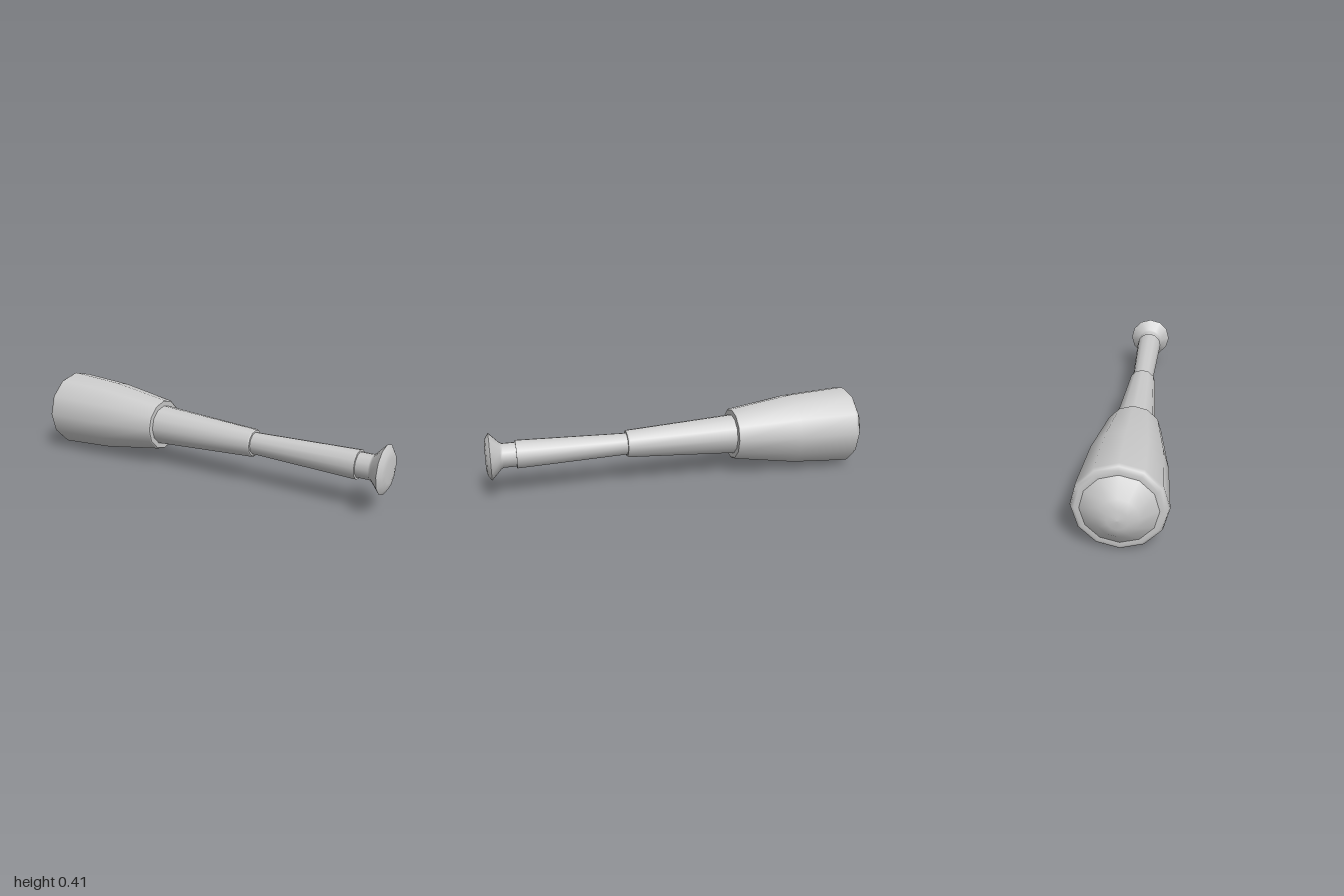
import * as THREE from 'three';

const SIDES = 12;
const AXIS_HEIGHT = 0.206;

export function createModel() {
  const group = new THREE.Group();
  group.name = 'spyglass';
  const material = new THREE.MeshStandardMaterial({ color: 0xcccccc, side: THREE.DoubleSide });

  // Turned part along x: profile is a list of [x, radius], left to right
  function turned(name, profile) {
    const points = profile.map(([x, r]) => new THREE.Vector2(r, x));
    const geometry = new THREE.LatheGeometry(points, SIDES);
    geometry.rotateZ(-Math.PI / 2);
    const mesh = new THREE.Mesh(geometry, material);
    mesh.name = name;
    mesh.position.y = AXIS_HEIGHT;
    group.add(mesh);
  }

  // Bulging front lens
  turned('frontLens', [[-1, 0], [-0.995, 0.045], [-0.98, 0.09], [-0.92, 0.165]]);

  // Large barrel with a rounded lip, tapering to the right
  turned('mainBarrel', [[-0.92, 0.16], [-0.922, 0.185], [-0.912, 0.2], [-0.895, 0.206],
    [-0.59, 0.186], [-0.265, 0.136], [-0.26, 0.13]]);
  turned('mainBarrelEnd', [[-0.26, 0.13], [-0.26, 0.1]]);

  // Middle draw tube
  turned('middleTube', [[-0.28, 0.105], [-0.26, 0.104], [0.3, 0.071], [0.308, 0.066]]);
  turned('middleTubeEnd', [[0.308, 0.066], [0.308, 0.05]]);

  // Small draw tube, widening towards the eyepiece
  turned('smallTube', [[0.29, 0.056], [0.308, 0.056], [0.855, 0.071]]);
  turned('smallTubeEnd', [[0.855, 0.071], [0.855, 0.05]]);

  // Eyepiece: neck, flared cup and closed cap
  turned('eyepieceNeck', [[0.84, 0.061], [0.918, 0.061], [0.93, 0.068], [0.977, 0.118]]);
  turned('eyepieceCap', [[0.977, 0.118], [0.994, 0.092], [1, 0.06], [1, 0]]);

  return group;
}
